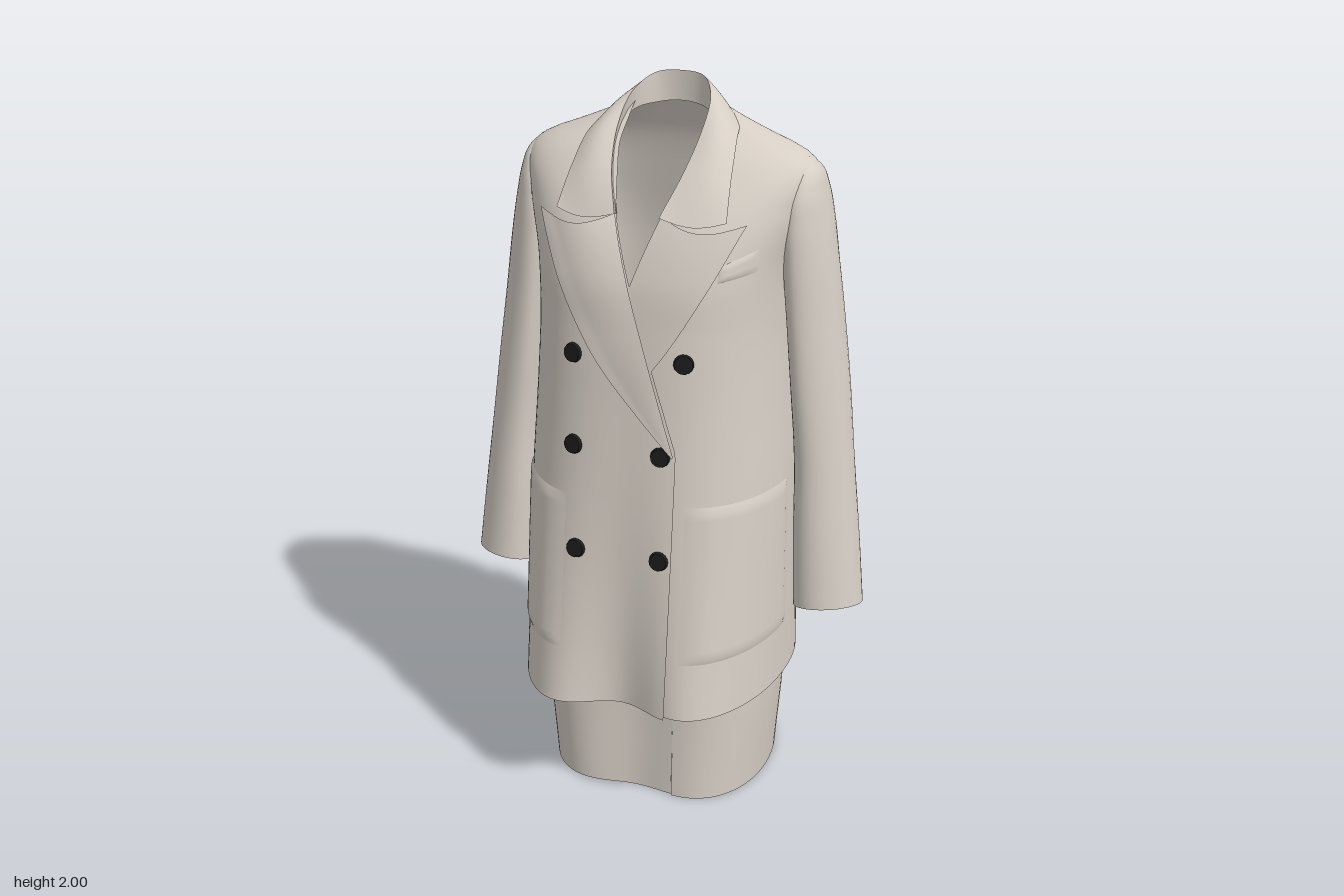
import * as THREE from 'three';

const fabric = new THREE.MeshStandardMaterial({ color: 0xd6cec5, side: THREE.DoubleSide });
fabric.name = 'beige wool';
const black = new THREE.MeshStandardMaterial({ color: 0x1b1b1b });
black.name = 'black button';

// Smooth lookup through rows of [key, value, value...]
function table(rows) {
  const n = rows[0].length - 1;
  const it = new THREE.CubicInterpolant(rows.map(r => r[0]), rows.flatMap(r => r.slice(1)), n, new Float32Array(n));
  return k => Array.from(it.evaluate(k));
}

// Surface from a rule fn(s, t) -> [x, y, z], s and t in 0..1
function grid(name, ns, nt, fn) {
  const pos = [], idx = [];
  for (let j = 0; j <= nt; j++)
    for (let i = 0; i <= ns; i++) pos.push(...fn(i / ns, j / nt));
  for (let j = 0; j < nt; j++)
    for (let i = 0; i < ns; i++) {
      const a = j * (ns + 1) + i, b = a + ns + 1;
      idx.push(a, a + 1, b + 1, a, b + 1, b);
    }
  const g = new THREE.BufferGeometry();
  g.setAttribute('position', new THREE.Float32BufferAttribute(pos, 3));
  g.setIndex(idx);
  g.computeVertexNormals();
  const m = new THREE.Mesh(g, fabric);
  m.name = name;
  return m;
}

const lerp = THREE.MathUtils.lerp;
const curve = pts => new THREE.CatmullRomCurve3(pts.map(p => new THREE.Vector3(...p)));

// Height: half width, front z, back z, middle z, front hollow, back hollow, front and back squareness
const bodyAt = table([
  [0.35, 0.375, 0.35, -0.36, -0.045, 0.22, 0.18, 2.75, 2.9],
  [0.6, 0.372, 0.325, -0.34, -0.045, 0.14, 0.15, 2.7, 2.9],
  [0.95, 0.365, 0.29, -0.315, -0.05, 0.05, 0.12, 2.7, 2.8],
  [1.2, 0.35, 0.265, -0.295, -0.06, 0.02, 0.11, 2.8, 2.7],
  [1.4, 0.342, 0.245, -0.285, -0.07, 0, 0.09, 3.0, 2.7],
  [1.55, 0.35, 0.22, -0.275, -0.08, 0, 0.07, 3.2, 2.7],
  [1.7, 0.387, 0.15, -0.25, -0.09, 0, 0.03, 3.0, 2.7],
  [1.795, 0.395, 0.068, -0.23, -0.1, 0, 0, 3, 2.8],
  [1.83, 0.355, 0.035, -0.22, -0.1, 0, 0, 2.8, 2.7],
  [1.865, 0.265, -0.008, -0.205, -0.11, 0, 0, 2.6, 2.6],
  [1.9, 0.18, -0.055, -0.19, -0.12, 0, 0, 2.6, 2.6],
  [1.93, 0.12, -0.085, -0.175, -0.13, 0, 0, 2.6, 2.6],
]);
const HEM = 0.35, NECK = 1.93;

// Rounded outline with a soft hollow in the middle
function outline(u, hollow, power) {
  const round = Math.sqrt(Math.max(0, 1 - Math.abs(u) ** power));
  return round * (1 + 0.7 * hollow) * (1 - hollow * Math.exp(-((u / 0.38) ** 2)));
}
function frontZ(x, y, off = 0) {
  const [w, zf, , zc, hf, , pf] = bodyAt(y);
  const u = THREE.MathUtils.clamp(x / w, -1, 1);
  return zc + (zf - zc + off) * outline(u, hf, pf);
}

// Front edge of the overlapping panel
const edgeAt = y => {
  const p = [[0, 0.14], [1.1, 0.14], [1.53, 0], [1.69, -0.06], [1.85, -0.105], [2, -0.105]];
  const k = p.findIndex(q => q[0] > y);
  return lerp(p[k - 1][1], p[k][1], (y - p[k - 1][0]) / (p[k][0] - p[k - 1][0]));
};

const OVER = 0.014; // how far the upper (right) panel lies over the lower one
function frontPanel(name, side, off) {
  return grid(name, 36, 90, (s, t) => {
    const y = lerp(HEM, NECK, t), w = bodyAt(y)[0];
    const end = Math.acos(THREE.MathUtils.clamp(-edgeAt(y) / w, -1, 1));
    // edgeAt describes the right panel; the left one mirrors it
    const x = side * w * Math.cos(s * end);
    return [x, y, frontZ(x, y, off)];
  });
}

// Button disc facing along a normal
function button(name, p, n, r) {
  const m = new THREE.Mesh(new THREE.CylinderGeometry(r * 0.9, r, 0.01, 16), black);
  m.name = name;
  n.normalize();
  m.position.set(...p).addScaledVector(n, 0.005);
  m.quaternion.setFromUnitVectors(new THREE.Vector3(0, 1, 0), n);
  return m;
}

// Height: inner x, outer x, front z, back z, inward bend of front and back, sideways twist
const sleeveAt = table([
  [0.58, 0.4, 0.575, 0.07, -0.11, 0, -0.025], [0.8, 0.385, 0.553, 0.055, -0.14, 0.008, -0.015],
  [1.0, 0.372, 0.53, 0.04, -0.175, 0.02, 0], [1.2, 0.355, 0.507, 0.035, -0.205, 0.03, 0.005],
  [1.4, 0.337, 0.48, 0.032, -0.22, 0.03, 0.005], [1.55, 0.322, 0.458, 0.032, -0.22, 0.025, 0.005],
  [1.66, 0.318, 0.44, 0.027, -0.215, 0.015, 0], [1.74, 0.32, 0.422, 0.008, -0.195, 0.005, 0],
  [1.79, 0.335, 0.403, -0.03, -0.155, 0, 0], [1.82, 0.355, 0.372, -0.08, -0.1, 0, 0],
]);
function sleevePoint(side, a, y) {
  const [xi, xo, zf, zb, bend, twist] = sleeveAt(y);
  const low = Math.max(0, 1 - (y - 0.58) / 0.3), sn = Math.sin(a);
  return [side * ((xi + xo) / 2 + (xo - xi) / 2 * Math.cos(a) - bend * sn * sn + twist * sn),
    y + low * (0.015 * sn + 0.008 * Math.cos(a)),
    (zf + zb) / 2 + (zf - zb) / 2 * sn];
}

export function createModel() {
  const model = new THREE.Group();
  model.name = 'jacketAndSkirt';

  // Jacket body
  model.add(grid('jacketBack', 56, 90, (s, t) => {
    const y = lerp(HEM, NECK, t);
    const [w, , zb, zc, , hb, , pb] = bodyAt(y);
    const u = Math.cos(s * Math.PI);
    return [u * w, y, zc + (zb - zc) * outline(u, hb, pb)];
  }));
  model.add(frontPanel('rightFront', -1, OVER), frontPanel('leftFront', 1, 0));

  // Collar: fold line, outer edge of the leaf and foot of the inner stand
  const half = (pts) => curve([...pts.slice(1).reverse().map(([x, y, z]) => [-x, y, z]), ...pts]);
  const fold = half([[0, 2, -0.16], [0.065, 1.994, -0.145], [0.106, 1.957, -0.08], [0.114, 1.89, 0.01],
    [0.097, 1.8, 0.105], [0.06, 1.7, 0.186]]);
  const leafEdge = half([[0, 1.915, -0.193], [0.1, 1.91, -0.18], [0.175, 1.893, -0.105], [0.203, 1.86, 0.0],
    [0.218, 1.78, 0.09], [0.23, 1.695, 0.158]]);
  const foot = half([[0, 1.92, -0.16], [0.06, 1.915, -0.145], [0.112, 1.9, -0.085], [0.122, 1.83, 0.005],
    [0.1, 1.76, 0.08], [0.065, 1.69, 0.15]]);
  model.add(grid('collarLeaf', 64, 8, (s, t) => {
    const p = fold.getPoint(s).lerp(leafEdge.getPoint(s), t);
    const puff = 0.014 * Math.sin(Math.PI * t);
    const end = Math.abs(2 * s - 1) ** 8;
    return [p.x * (1 + puff), p.y + puff * 0.7 - end * 0.025 * Math.sin(Math.PI * t), p.z + puff * (p.z > -0.1 ? 0.8 : 0)];
  }));
  model.add(grid('collarStand', 64, 4, (s, t) => fold.getPoint(s).lerp(foot.getPoint(s), t).toArray()));

  // Peaked lapels, lying on the front panels with the peak standing off
  const inner = curve([[0.135, 1.1, 0], [0, 1.53, 0], [-0.06, 1.7, 0]]);
  const outer = curve([[0.135, 1.09, 0], [-0.075, 1.325, 0], [-0.195, 1.52, 0], [-0.278, 1.69, 0]]);
  for (const [name, side, off] of [['rightLapel', -1, OVER + 0.01], ['leftLapel', 1, 0.009]]) {
    model.add(grid(name, 16, 32, (s, t) => {
      const p = inner.getPoint(t).lerp(outer.getPoint(t), s);
      const x = -side * p.x, y = p.y - 0.025 * t ** 8 * Math.sin(Math.PI * s);
      const roll = 0.012 * t * Math.sin(Math.PI * Math.min(1, s + 0.2));
      return [x, y, frontZ(x, y, off) + roll + 0.025 * s * t * t];
    }));
  }

  for (const side of [-1, 1]) {
    const label = side < 0 ? 'right' : 'left';
    const base = side < 0 ? OVER : 0;

    // Patch pocket wrapping towards the side
    model.add(grid(label + 'Pocket', 24, 24, (s, t) => {
      const rim = s === 0 || s === 1 || t === 0 || t === 1 ? 0 : Math.min(1, s * 5);
      const y = lerp(0.51, 0.95, t), w = bodyAt(y)[0];
      const u = Math.cos(lerp(Math.acos(0.45), 0.1, s));
      const x = u * w;
      return [side * (x + 0.004 * rim * u), y, frontZ(x, y, base) + 0.001 + 0.007 * rim];
    }));

    // Sleeve and its three cuff buttons
    model.add(grid(label + 'Sleeve', 40, 60, (s, t) =>
      sleevePoint(side, Math.PI + s * Math.PI * 2, lerp(0.58, 1.82, 1 - (1 - t) ** 1.5))));
    for (const y of [0.615, 0.68, 0.75]) {
      const a = -1.25;
      model.add(button(label + 'CuffButton', sleevePoint(side, a, y),
        new THREE.Vector3(side * Math.cos(a), -0.1, Math.sin(a)), 0.017));
    }
  }

  // Breast pocket welt on the left chest
  model.add(grid('breastPocket', 8, 6, (s, t) => {
    const x = lerp(0.218, 0.3, s), y = lerp(1.545 + 0.018 * s, 1.585 + 0.035 * s, t);
    const rim = s === 0 || s === 1 || t === 0 || t === 1 ? 0 : 1;
    return [x, y, frontZ(x, y) + 0.002 + 0.006 * rim];
  }));

  // Two columns of front buttons
  for (const [x, y] of [[-0.152, 1.337], [0.147, 1.337], [-0.145, 1.09], [0.1, 1.09], [-0.13, 0.802], [0.106, 0.802]]) {
    const off = x < edgeAt(y) ? OVER : 0, d = 0.02;
    const n = new THREE.Vector3((frontZ(x - d, y) - frontZ(x + d, y)) / (2 * d),
      (frontZ(x, y - d) - frontZ(x, y + d)) / (2 * d), 1);
    model.add(button('frontButton', [x, y, frontZ(x, y, off)], n, 0.027));
  }

  // Skirt: one wrapped sheet whose ends overlap at the front slit
  const skirtAt = table([
    [0.005, 0.318, 0.22, -0.33, 0.1], [0.35, 0.345, 0.205, -0.31, 0.1],
    [0.7, 0.335, 0.2, -0.27, 0.06], [1.05, 0.27, 0.19, -0.22, 0],
  ]);
  model.add(grid('skirt', 96, 30, (s, t) => {
    const y = lerp(0.005, 1.05, t);
    const [w, zf, zb, h] = skirtAt(y);
    const a = Math.acos(0.11 / w) + s * Math.PI * 2, u = Math.cos(a);
    const zc = -0.045, z = Math.sin(a) > 0 ? zf : zb;
    const lap = 1 + 0.025 * (s - 0.5) * Math.max(0, 1 - y / 0.3);
    return [u * w * lap, y, zc + (z - zc) * outline(u, h, 3.5) * lap];
  }));

  return model;
}
